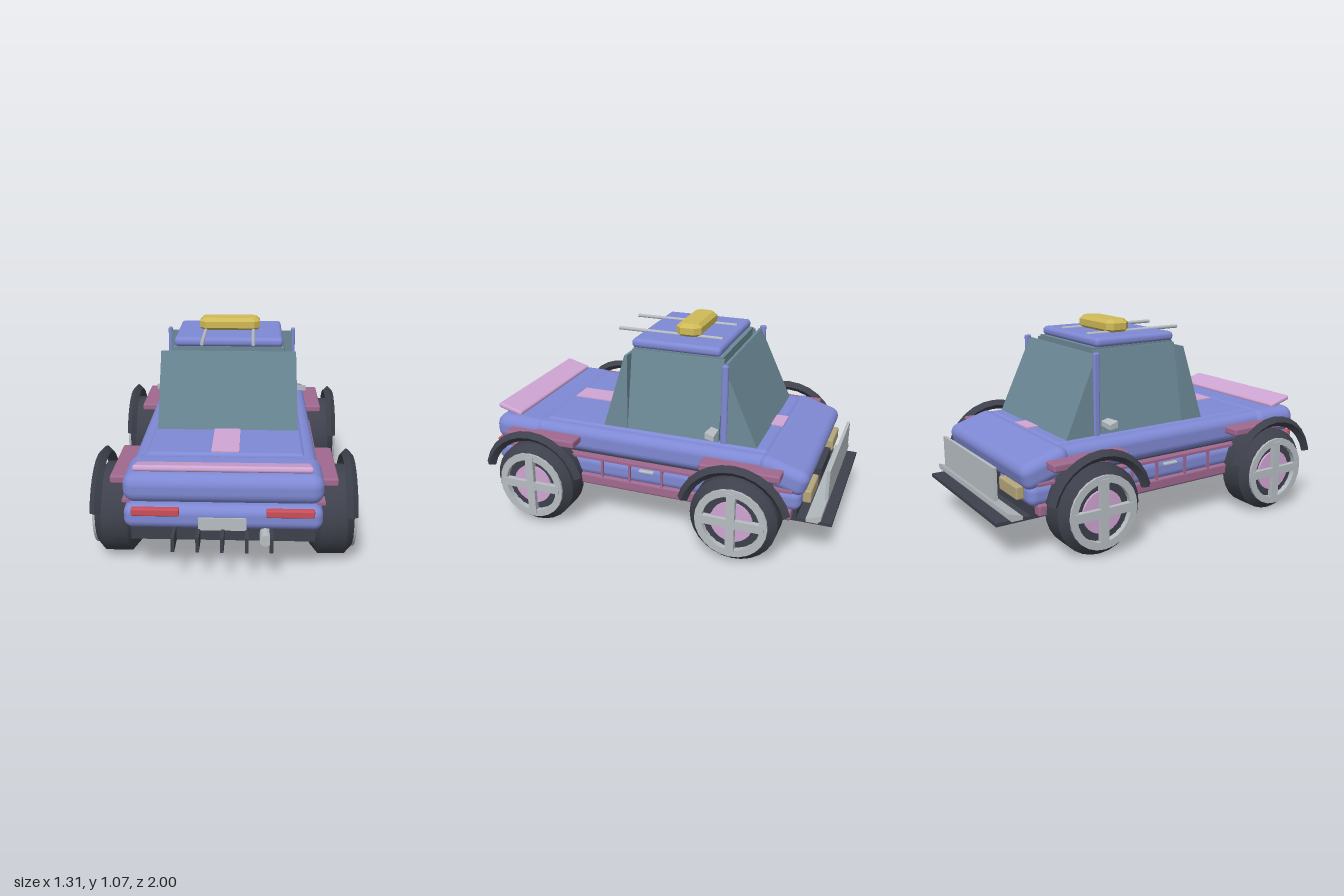
import * as THREE from 'three';
import { toCreasedNormals } from 'three/addons/utils/BufferGeometryUtils.js';
import { RoundedBoxGeometry } from 'three/addons/geometries/RoundedBoxGeometry.js';
import { ConvexGeometry } from 'three/addons/geometries/ConvexGeometry.js';

const mat = (name, color, side = THREE.FrontSide) => {
  const m = new THREE.MeshStandardMaterial({ color, side });
  m.name = name;
  return m;
};

export function createModel() {
  const car = new THREE.Group();
  car.name = 'car';
  const blue = mat('body blue', 0x7f89d4);
  const glass = mat('window glass', 0x6c8997);
  const dark = mat('rubber dark', 0x3e414c, THREE.DoubleSide);
  const silver = mat('silver', 0xb6bdc1);
  const lilac = mat('lilac', 0xcfa5d3);
  const mauve = mat('mauve', 0xa0698f);
  const yellow = mat('yellow', 0xcfba58);
  const red = mat('light red', 0xc94f5a);
  const tan = mat('lamp tan', 0xb5a67c);

  const add = (name, geo, m, x = 0, y = 0, z = 0, parent = car) => {
    const mesh = new THREE.Mesh(geo, m);
    mesh.name = name;
    mesh.position.set(x, y, z);
    parent.add(mesh);
    return mesh;
  };
  // boxes given by their minimum and maximum on each axis
  const box = (name, m, [x0, x1], [y0, y1], [z0, z1], r = 0) => {
    const s = [x1 - x0, y1 - y0, z1 - z0];
    const geo = r ? new RoundedBoxGeometry(...s, 4, r) : new THREE.BoxGeometry(...s);
    return add(name, geo, m, (x0 + x1) / 2, (y0 + y1) / 2, (z0 + z1) / 2);
  };
  const hull = (name, m, pts) =>
    add(name, new ConvexGeometry(pts.map((p) => new THREE.Vector3(...p))), m);
  const span = (s, a, b) => (s > 0 ? [a, b] : [-b, -a]);

  // Body shell
  box('chassis', dark, [-0.44, 0.44], [0.19, 0.27], [-0.82, 0.88]);
  box('bodyCore', dark, [-0.43, 0.43], [0.26, 0.45], [-0.78, 0.84]);
  box('lowerBody', blue, [-0.475, 0.475], [0.25, 0.37], [-0.84, 0.905], 0.045);
  box('upperBody', blue, [-0.46, 0.46], [0.375, 0.52], [-0.68, 0.68], 0.05);
  box('deckPanel', blue, [-0.4, 0.4], [0.46, 0.53], [-0.65, 0.62], 0.025);
  box('nose', blue, [-0.477, 0.477], [0.378, 0.526], [0.6, 0.905], 0.06);
  add('tailDeck', new RoundedBoxGeometry(0.95, 0.14, 0.27, 4, 0.05), blue, 0, 0.43, -0.735)
    .rotation.x = -0.3;

  // Stripes and lip
  box('frontStripe', lilac, [-0.07, 0.07], [0.528, 0.536], [0.26, 0.6]);
  box('tailStripe', lilac, [-0.07, 0.07], [0.528, 0.536], [-0.65, -0.58]);
  add('noseLip', new RoundedBoxGeometry(0.84, 0.03, 0.15, 3, 0.013), lilac, 0, 0.548, 0.835)
    .rotation.x = -0.27;

  // Cabin
  box('cabinCore', glass, [-0.29, 0.29], [0.5, 0.96], [-0.37, 0.125]);
  hull('windshield', glass, [-1, 1].flatMap((s) => [
    [s * 0.38, 0.52, 0.27], [s * 0.38, 0.52, 0.13],
    [s * 0.365, 0.935, 0.145], [s * 0.365, 0.935, 0.13]]));
  hull('rearWindow', glass, [-1, 1].flatMap((s) => [
    [s * 0.38, 0.52, -0.59], [s * 0.38, 0.52, -0.39],
    [s * 0.365, 0.935, -0.4], [s * 0.365, 0.935, -0.385]]));
  box('roof', blue, [-0.295, 0.295], [0.957, 1.007], [-0.355, 0.135], 0.022);

  // Roof rack and cargo box with chamfered edges
  for (const x of [-0.135, 0.133]) {
    add('rackRod', new THREE.CylinderGeometry(0.01, 0.01, 0.59, 10), silver, x, 1.007, -0.022)
      .rotation.x = Math.PI / 2;
  }
  const c = 0.02, w = 0.15, d = 0.05;
  const outline = new THREE.Shape([[-w + c, -d], [w - c, -d], [w, -d + c], [w, d - c],
    [w - c, d], [-w + c, d], [-w, d - c], [-w, -d + c]].map((p) => new THREE.Vector2(...p)));
  const cargo = new THREE.ExtrudeGeometry(outline, {
    depth: 0.035, bevelSize: 0.02, bevelThickness: 0.02, bevelSegments: 1 });
  cargo.rotateX(-Math.PI / 2);
  add('roofCargo', cargo, yellow, 0, 1.02, -0.13);

  // Parts mirrored on both sides
  for (const s of [-1, 1]) {
    hull('sideWindow', glass, [0.13, -0.38].flatMap((z) => [
      [s * 0.38, 0.52, z], [s * 0.28, 0.52, z], [s * 0.3, 0.95, z], [s * 0.28, 0.95, z]]));
    box('pillar', blue, span(s, 0.362, 0.386), [0.5, 0.952], [-0.425, -0.39], 0.01);
    hull('mirror', silver, [
      [0.375, 0.58, -0.34], [0.375, 0.61, -0.34], [0.375, 0.575, -0.38], [0.375, 0.6, -0.38],
      [0.455, 0.575, -0.33], [0.455, 0.61, -0.33], [0.46, 0.57, -0.38], [0.46, 0.595, -0.38],
    ].map(([x, y, z]) => [s * x, y, z]));
    box('rocker', mauve, span(s, 0.42, 0.487), [0.208, 0.268], [-0.8, 0.8], 0.012);
    box('sideRail', mauve, span(s, 0.44, 0.487), [0.362, 0.376], [-0.8, 0.84]);
    for (const z of [0.24, 0.08, -0.105, -0.26]) {
      box('railPost', mauve, span(s, 0.45, 0.485), [0.26, 0.366], [z - 0.006, z + 0.006]);
    }
    box('doorHandle', silver, span(s, 0.46, 0.49), [0.332, 0.346], [-0.06, 0.025], 0.005);
    box('frontLight', red, span(s, 0.205, 0.432), [0.33, 0.368], [0.89, 0.925], 0.008);
    box('rearLamp', tan, span(s, 0.22, 0.42), [0.29, 0.36], [-0.885, -0.84], 0.01);
  }

  // Wheels, arches and fenders
  const tire = toCreasedNormals(new THREE.LatheGeometry([
    [0, -0.105], [0.18, -0.105], [0.228, -0.065], [0.228, 0.065], [0.185, 0.105],
    [0.155, 0.105], [0.15, 0.085], [0, 0.085],
  ].map((p) => new THREE.Vector2(...p)), 28), 0.5).rotateZ(-Math.PI / 2);
  const rim = toCreasedNormals(new THREE.LatheGeometry([
    [0.15, 0.085], [0.188, 0.09], [0.188, 0.115], [0.15, 0.115], [0.15, 0.085],
  ].map((p) => new THREE.Vector2(...p)), 24), 0.5).rotateZ(-Math.PI / 2);
  const hub = new THREE.CylinderGeometry(0.11, 0.11, 0.02, 24).rotateZ(-Math.PI / 2);
  const arch = toCreasedNormals(
    new THREE.TorusGeometry(0.272, 0.028, 4, 12, Math.PI * 5 / 6)
      .rotateZ(Math.PI / 12).rotateY(Math.PI / 2), 0.4);
  for (const s of [-1, 1]) {
    for (const z of [0.59, -0.533]) {
      const wheel = new THREE.Group();
      wheel.name = 'wheel';
      wheel.position.set(s * 0.535, 0.229, z);
      wheel.rotation.y = s > 0 ? 0 : Math.PI;
      car.add(wheel);
      add('tire', tire, dark, 0, 0, 0, wheel);
      add('rimRing', rim, silver, 0, 0, 0, wheel);
      add('hubDisc', hub, lilac, 0.087, 0, 0, wheel);
      add('uprightSpoke', new THREE.BoxGeometry(0.03, 0.34, 0.045), silver, 0.105, 0, 0, wheel);
      add('levelSpoke', new THREE.BoxGeometry(0.03, 0.045, 0.34), silver, 0.104, 0, 0, wheel);
      add('wheelArch', arch, dark, s * 0.615, 0.235, z);
      box('fender', mauve, span(s, 0.44, 0.55), [0.437, 0.478], [z - 0.215, z + 0.205], 0.01);
    }
  }

  // Front end: plate, fins and exhaust
  box('frontPlate', silver, [-0.117, 0.113], [0.257, 0.32], [0.895, 0.912]);
  for (let i = -2; i <= 2; i++) {
    const x = i * 0.115;
    box('fin', dark, [x - 0.008, x + 0.008], [0.188, 0.263], [0.83, 1]);
  }
  add('exhaust', new THREE.CylinderGeometry(0.028, 0.028, 0.14, 16), silver, 0.203, 0.235, 0.9)
    .rotation.x = Math.PI / 2;

  // Rear end: grille, splitter, blade and upright panel
  box('grille', dark, [-0.14, 0.14], [0.29, 0.35], [-0.885, -0.83]);
  box('splitter', dark, [-0.435, 0.435], [0.188, 0.206], [-1, -0.8]);
  hull('bumperBlade', silver, [-0.455, 0.455].flatMap((x) => [
    [x, 0.205, -0.87], [x, 0.222, -0.87], [x, 0.205, -0.93], [x, 0.25, -0.948], [x, 0.225, -0.948]]));
  box('rearPanel', silver, [-0.33, 0.33], [0.275, 0.442], [-0.957, -0.94]);

  return car;
}
